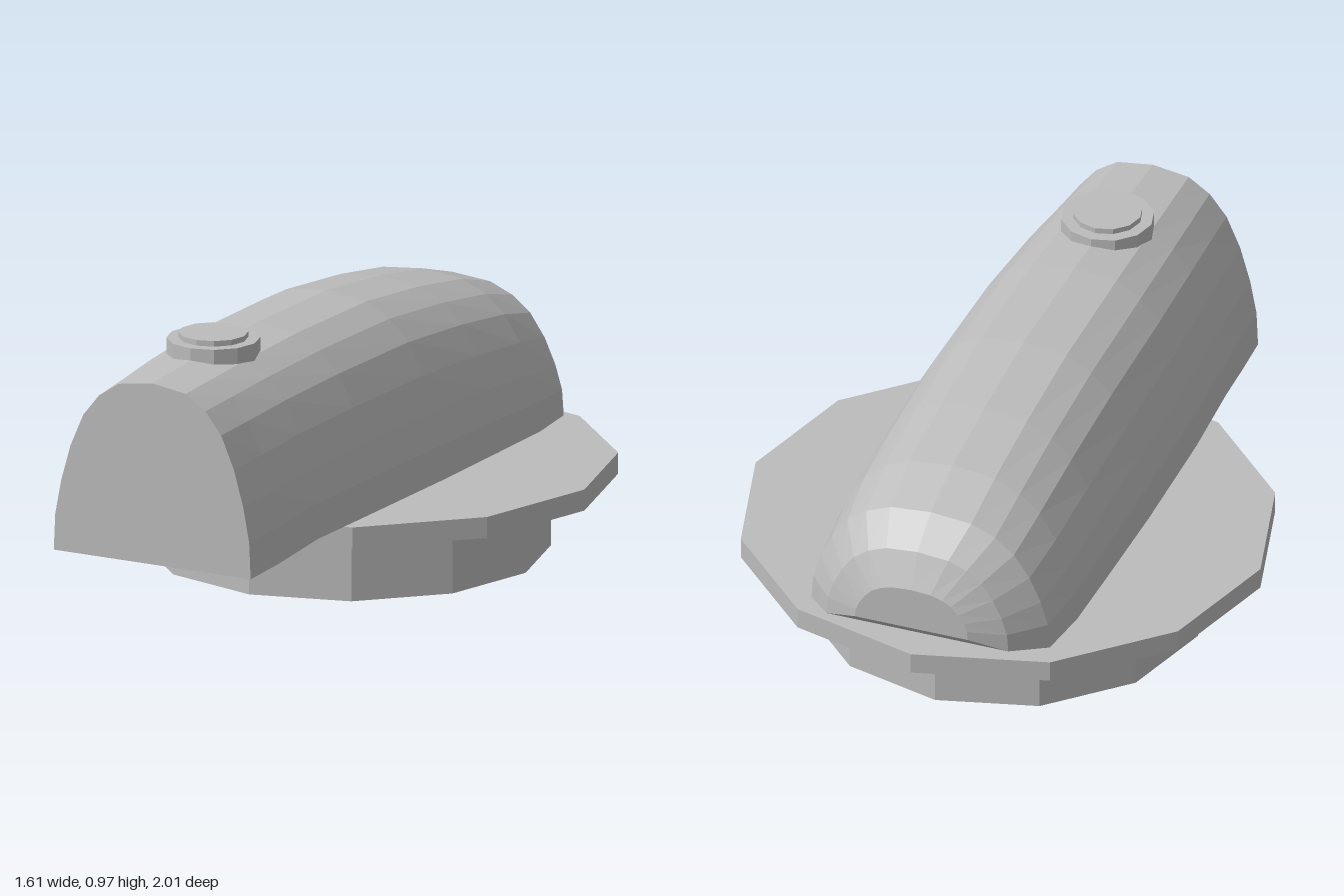
import * as THREE from 'three';

const gray = new THREE.MeshStandardMaterial({ color: 0xbcbcbc, flatShading: true });
gray.name = 'plain gray';

function addPart(group, name, geometry, x = 0, y = 0, z = 0) {
  const mesh = new THREE.Mesh(geometry, gray);
  mesh.name = name;
  mesh.position.set(x, y, z);
  group.add(mesh);
  return mesh;
}

// Arched hull lofted through stations of [z, half width, base y, top y]
function hullGeometry() {
  const stations = [
    [1, 0.335, 0.34, 0.9], [0.85, 0.348, 0.353, 0.908], [0.65, 0.368, 0.382, 0.919],
    [0.35, 0.39, 0.391, 0.93], [-0.07, 0.4, 0.393, 0.924], [-0.4, 0.4, 0.394, 0.888],
    [-0.66, 0.398, 0.394, 0.845], [-0.84, 0.38, 0.398, 0.79], [-0.95, 0.29, 0.43, 0.715],
    [-1, 0.18, 0.475, 0.61],
  ];
  // Right half of the arch, as fractions of width and height
  const half = [[1, 0], [0.985, 0.2], [0.925, 0.39], [0.83, 0.59], [0.7, 0.77], [0.54, 0.89], [0.34, 0.97]];
  const arch = [...half, [0, 1], ...half.map(([x, y]) => [-x, y]).reverse()];
  const n = arch.length;
  const positions = [];
  for (const [z, w, base, top] of stations) {
    for (const [x, y] of arch) positions.push(x * w, base + y * (top - base), z);
  }
  const index = [];
  const last = (stations.length - 1) * n;
  for (let i = 0; i < last; i += n) {
    for (let j = 0; j < n; j++) {
      const a = i + j, b = i + (j + 1) % n;
      index.push(a, a + n, b, b, a + n, b + n);
    }
  }
  // Flat end caps
  for (let j = 1; j < n - 1; j++) {
    index.push(0, j, j + 1);
    index.push(last, last + j + 1, last + j);
  }
  const geometry = new THREE.BufferGeometry();
  geometry.setAttribute('position', new THREE.Float32BufferAttribute(positions, 3));
  geometry.setIndex(index);
  const flat = geometry.toNonIndexed();
  flat.computeVertexNormals();
  return flat;
}

export function createModel() {
  const model = new THREE.Group();
  model.name = 'mouseShapedDevice';

  addPart(model, 'hull', hullGeometry());

  // Stepped button on top, near the front
  const button = new THREE.Group();
  button.name = 'topButton';
  addPart(button, 'buttonBase', new THREE.CylinderGeometry(0.14, 0.14, 0.06, 12), 0, 0.92, 0.625);
  addPart(button, 'buttonCap', new THREE.CylinderGeometry(0.104, 0.104, 0.03, 12), 0, 0.952, 0.625);
  model.add(button);

  // Wide plate under the hull
  addPart(model, 'plate', new THREE.CylinderGeometry(0.805, 0.805, 0.065, 12), 0, 0.3525, -0.2);

  // Open ring below the plate
  const profile = [[0.55, 0.325], [0.55, 0.1], [0.605, 0.1], [0.605, 0.325]];
  addPart(model, 'ring', new THREE.LatheGeometry(profile.map(([x, y]) => new THREE.Vector2(x, y)), 12), 0, 0, -0.2);

  // Stretched dome hanging inside the ring
  const dome = addPart(model, 'dome',
    new THREE.SphereGeometry(1, 12, 4, 0, Math.PI * 2, Math.PI / 2, Math.PI / 2), 0, 0.33, -0.22);
  dome.scale.set(0.305, 0.33, 0.445);

  return model;
}
